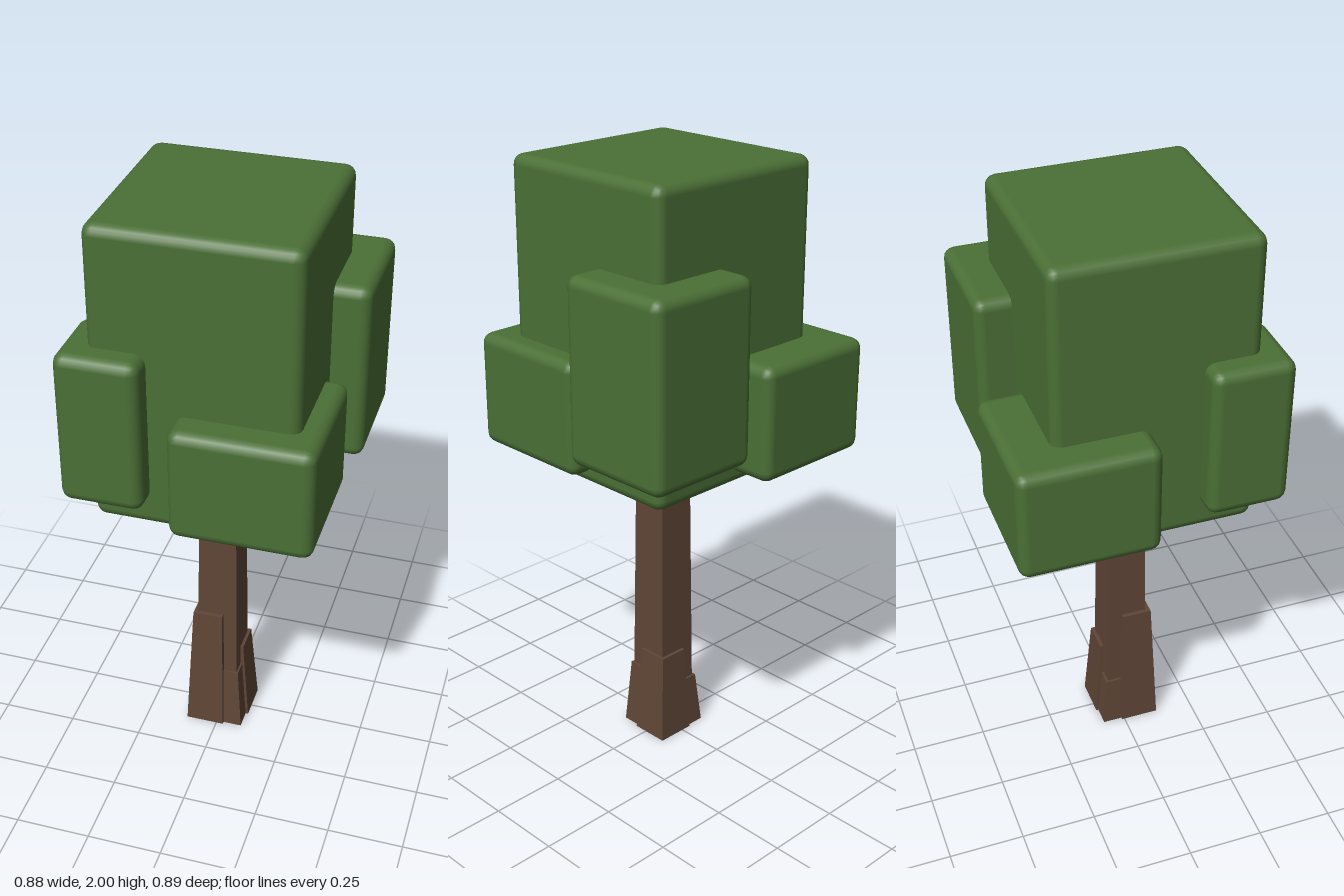
import * as THREE from 'three';
import { RoundedBoxGeometry } from 'three/addons/geometries/RoundedBoxGeometry.js';

const leafGreen = new THREE.MeshStandardMaterial({ name: 'leafGreen', color: 0x4b7036 });
const barkBrown = new THREE.MeshStandardMaterial({ name: 'barkBrown', color: 0x5f4636 });

// Box whose bottom and top rectangles differ; each is [x0, x1, z0, z1]
function taperedBox(bottom, top, height) {
  const geometry = new THREE.BoxGeometry(1, 1, 1);
  const p = geometry.attributes.position;
  for (let i = 0; i < p.count; i++) {
    const isTop = p.getY(i) > 0;
    const r = isTop ? top : bottom;
    p.setXYZ(i, p.getX(i) < 0 ? r[0] : r[1], isTop ? height : 0, p.getZ(i) < 0 ? r[2] : r[3]);
  }
  geometry.computeVertexNormals();
  return geometry;
}

// Soft-edged leaf block from its extents
function leafBlock([x0, x1], [y0, y1], [z0, z1]) {
  const geometry = new RoundedBoxGeometry(x1 - x0, y1 - y0, z1 - z0, 2, 0.035);
  return geometry.translate((x0 + x1) / 2, (y0 + y1) / 2, (z0 + z1) / 2);
}

export function createModel() {
  const tree = new THREE.Group();
  tree.name = 'tree';
  const add = (name, geometry, material) => {
    const mesh = new THREE.Mesh(geometry, material);
    mesh.name = name;
    tree.add(mesh);
  };

  // Trunk, running up into the leaves
  add('trunk', taperedBox([-0.078, 0.068, -0.054, 0.092], [-0.066, 0.057, -0.044, 0.079], 1.05), barkBrown);

  // Root flares, one per trunk corner
  const roots = [
    ['frontRightRoot', [-0.108, 0.024, -0.01, 0.122], [-0.086, 0.016, 0.0, 0.102], 0.475],
    ['backLeftRoot', [-0.035, 0.097, -0.083, 0.047], [-0.027, 0.075, -0.063, 0.04], 0.305],
    ['frontLeftRoot', [0.01, 0.088, 0.03, 0.112], [0.015, 0.072, 0.035, 0.096], 0.23],
    ['backRightRoot', [-0.1, -0.02, -0.075, 0.005], [-0.084, -0.025, -0.06, 0.0], 0.18],
  ];
  for (const [name, bottom, top, height] of roots) add(name, taperedBox(bottom, top, height), barkBrown);

  // Main crown and the four smaller blocks on its corners
  const leaves = [
    ['mainCrown', [-0.325, 0.325], [1.01, 2.0], [-0.305, 0.346]],
    ['frontRightLeaves', [-0.405, -0.14], [1.105, 1.615], [0.162, 0.427]],
    ['frontLeftLeaves', [-0.055, 0.395], [1.05, 1.425], [0.002, 0.447]],
    ['backLeftLeaves', [0.045, 0.44], [1.125, 1.72], [-0.42, -0.025]],
    ['backRightLeaves', [-0.441, 0.006], [1.05, 1.425], [-0.447, 0.002]],
  ];
  for (const [name, x, y, z] of leaves) add(name, leafBlock(x, y, z), leafGreen);

  return tree;
}
